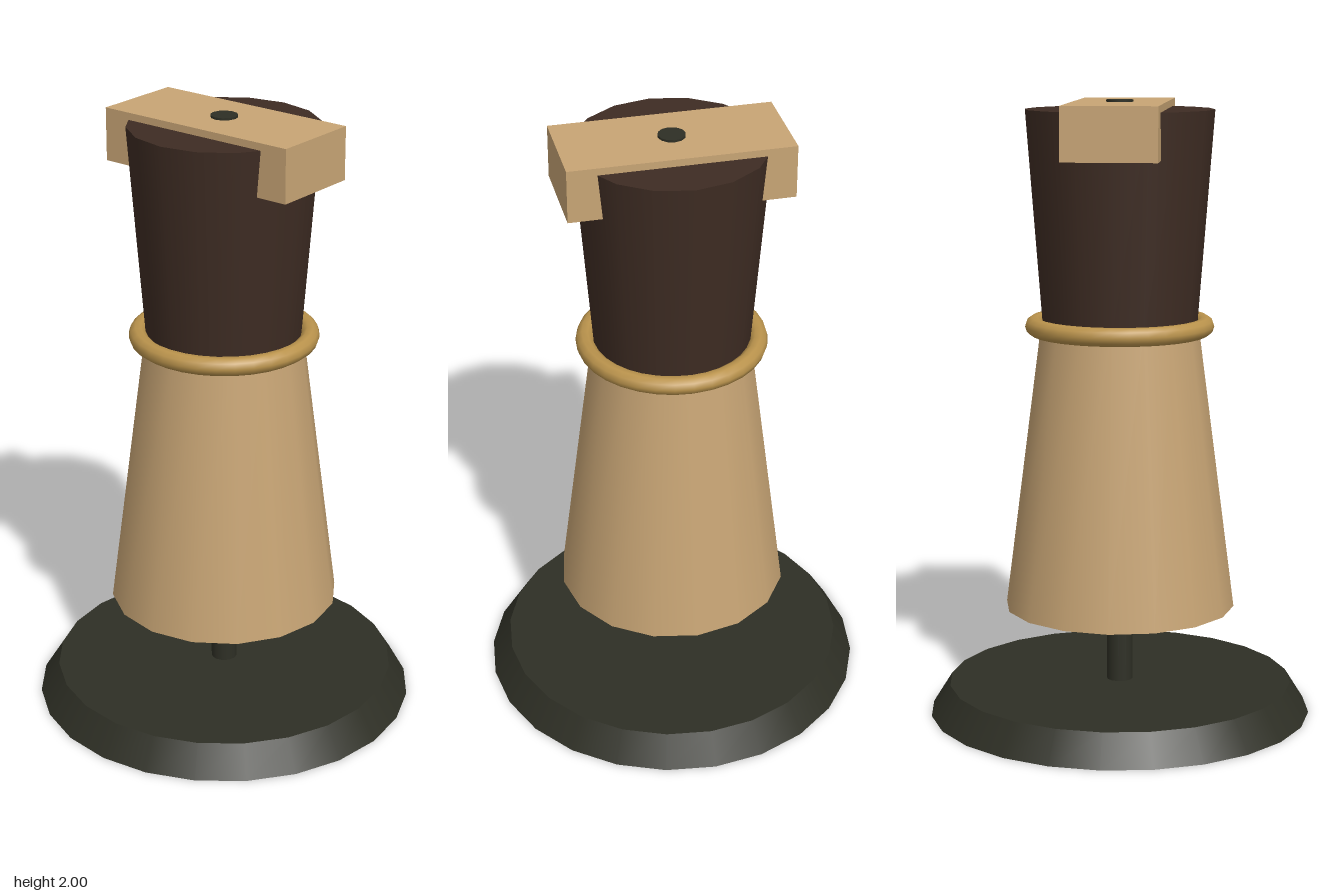
import * as THREE from 'three';

const material = (name, color) => {
  const m = new THREE.MeshStandardMaterial({ color });
  m.name = name;
  return m;
};

export function createModel() {
  const group = new THREE.Group();
  const paleWood = material('paleWood', 0xc8a575);
  const darkWood = material('darkWood', 0x3e2c23);
  const blackMetal = material('blackMetal', 0x2e2f25);
  const brass = material('brass', 0xba934c);

  const add = (name, geometry, mat, y) => {
    const mesh = new THREE.Mesh(geometry, mat);
    mesh.name = name;
    mesh.position.y = y;
    group.add(mesh);
    return mesh;
  };
  // Tapered round part spanning y0 to y1
  const taper = (name, mat, rTop, rBottom, y0, y1, sides) =>
    add(name, new THREE.CylinderGeometry(rTop, rBottom, y1 - y0, sides), mat, (y0 + y1) / 2);

  // Stand
  taper('base', blackMetal, 0.5625, 0.625, 0, 0.1, 24);
  taper('post', blackMetal, 0.043, 0.043, 0.1, 2, 12);

  // Body
  taper('lowerBody', paleWood, 0.255, 0.375, 0.355, 1.28, 16);
  taper('upperBody', darkWood, 0.303, 0.25, 1.28, 1.97, 16);

  // Ring over the joint
  add('waistRing', new THREE.TorusGeometry(0.275, 0.03, 10, 32), brass, 1.28).rotation.x = Math.PI / 2;

  // Bar across the top
  add('topBar', new THREE.BoxGeometry(0.7, 0.17, 0.3), paleWood, 1.908);

  return group;
}
